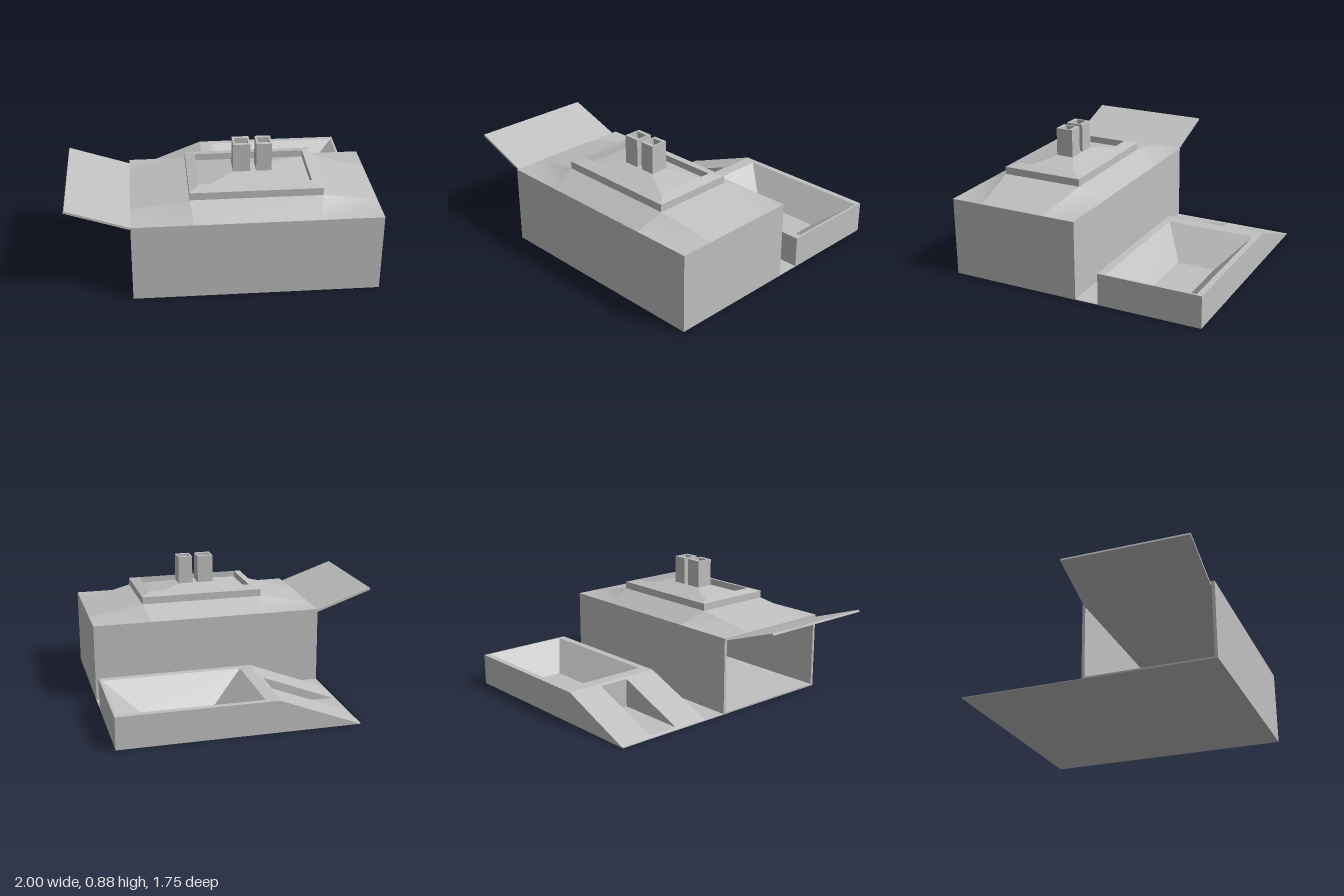
import * as THREE from 'three';

const stone = new THREE.MeshStandardMaterial({ color: 0xc0c0c0 });
stone.name = 'plain grey';
stone.side = THREE.DoubleSide;

function add(parent, name, geometry) {
  const mesh = new THREE.Mesh(geometry, stone);
  mesh.name = name;
  parent.add(mesh);
  return mesh;
}

function box(parent, name, x0, x1, y0, y1, z0, z1) {
  const m = add(parent, name, new THREE.BoxGeometry(x1 - x0, y1 - y0, z1 - z0));
  m.position.set((x0 + x1) / 2, (y0 + y1) / 2, (z0 + z1) / 2);
  return m;
}

// Four-cornered patches, each with its own vertices so edges stay sharp
function patches(quads) {
  const index = [];
  quads.forEach((q, i) => index.push(...[0, 1, 2, 0, 2, 3].map(n => n + i * 4)));
  const g = new THREE.BufferGeometry();
  g.setAttribute('position', new THREE.Float32BufferAttribute(quads.flat(2), 3));
  g.setIndex(index);
  g.computeVertexNormals();
  return g;
}

// Joins rectangular rings [x0, x1, z0, z1, y] and caps the last one
function loft(rings) {
  const pts = rings.map(([x0, x1, z0, z1, y]) =>
    [[x0, y, z1], [x1, y, z1], [x1, y, z0], [x0, y, z0]]);
  const quads = [pts[pts.length - 1]];
  for (let r = 0; r + 1 < pts.length; r++) {
    for (let i = 0; i < 4; i++) {
      const j = (i + 1) % 4;
      quads.push([pts[r][i], pts[r][j], pts[r + 1][j], pts[r + 1][i]]);
    }
  }
  return patches(quads);
}

// Side profile in x and y, extruded between two depths
function slab(parent, name, profile, z0, z1) {
  const shape = new THREE.Shape(profile.map(p => new THREE.Vector2(...p)));
  const g = new THREE.ExtrudeGeometry(shape, { depth: z1 - z0, bevelEnabled: false });
  g.translate(0, 0, z0);
  return add(parent, name, g);
}

// Hipped roof whose corners are separate patches
function roofGeometry() {
  const low = 0.53, high = 0.61;
  const at = y => ([x, z]) => [x, y, z];
  const eaves = [[-0.2, 0.875], [0.6, 0.875], [0.995, 0.65], [0.995, 0.2],
    [0.6, -0.02], [-0.17, -0.02], [-0.595, 0.2], [-0.595, 0.65]].map(at(low));
  const corners = [[-0.595, 0.875], [0.995, 0.875], [0.995, -0.02], [-0.595, -0.02]].map(at(low));
  const curb = [[-0.22, 0.705], [0.63, 0.705], [0.63, 0.145], [-0.22, 0.145]].map(at(high));
  const quads = [];
  for (let i = 0; i < 4; i++) {
    const j = (i + 1) % 4;
    quads.push([eaves[2 * i], eaves[2 * i + 1], curb[j], curb[i]]);
    quads.push([eaves[2 * j], curb[j], eaves[2 * i + 1], corners[j]]);
  }
  return patches(quads);
}

export function createModel() {
  const model = new THREE.Group();
  model.name = 'building with basin';

  box(model, 'groundPlate', -0.595, 0.995, 0, 0.004, -0.88, 0.875);

  // Hall, open at one end
  const hall = new THREE.Group();
  hall.name = 'hall';
  model.add(hall);
  box(hall, 'frontWall', -0.595, 0.995, 0, 0.529, 0.855, 0.875);
  box(hall, 'backWall', -0.595, 0.995, 0, 0.529, -0.02, 0);
  box(hall, 'endWall', 0.975, 0.995, 0, 0.529, 0, 0.855);
  box(hall, 'ceiling', -0.595, 0.975, 0.509, 0.529, 0, 0.855);
  box(hall, 'floor', -0.595, 0.975, 0.004, 0.012, 0, 0.855);
  add(hall, 'roof', roofGeometry());

  // Raised rim with a sunken hipped top inside
  add(hall, 'roofCurb', loft([
    [-0.22, 0.63, 0.145, 0.705, 0.605],
    [-0.22, 0.63, 0.145, 0.705, 0.66],
    [-0.155, 0.565, 0.22, 0.63, 0.68],
    [-0.155, 0.565, 0.22, 0.63, 0.635],
    [0.075, 0.325, 0.365, 0.485, 0.683],
  ]));

  // Hollow chimneys
  for (const [x0, x1] of [[0.075, 0.185], [0.225, 0.325]]) {
    add(hall, 'chimney', loft([
      [x0, x1, 0.365, 0.485, 0.66],
      [x0, x1, 0.365, 0.485, 0.875],
      [x0 + 0.012, x1 - 0.012, 0.39, 0.46, 0.875],
      [x0 + 0.012, x1 - 0.012, 0.39, 0.46, 0.7],
    ]));
  }

  // Lifted door panel over the open end
  const dx = 0.403, dy = 0.138;
  const door = add(hall, 'liftedDoor', new THREE.BoxGeometry(Math.hypot(dx, dy), 0.015, 0.85));
  door.position.set(-0.7965, 0.576, 0.425);
  door.rotation.z = -Math.atan2(dy, dx);

  // Low block with a sunken basin
  const yard = new THREE.Group();
  yard.name = 'basinBlock';
  model.add(yard);
  add(yard, 'basin', loft([
    [-0.05, 0.995, -0.88, -0.18, 0],
    [-0.05, 0.995, -0.88, -0.18, 0.215],
    [0.035, 0.98, -0.84, -0.23, 0.215],
    [0.26, 0.75, -0.66, -0.4, 0.03],
  ]));

  // Ramp with a level slot cut into it
  const ramp = [[-0.595, 0], [-0.05, 0], [-0.05, 0.215]];
  slab(yard, 'rampBackSide', ramp, -0.88, -0.64);
  slab(yard, 'rampFrontSide', ramp, -0.425, -0.18);
  slab(yard, 'rampSlot', [[-0.595, 0], [-0.05, 0], [-0.05, 0.215],
    [-0.07, 0.207], [-0.07, 0.01], [-0.57, 0.01]], -0.64, -0.425);

  return model;
}
